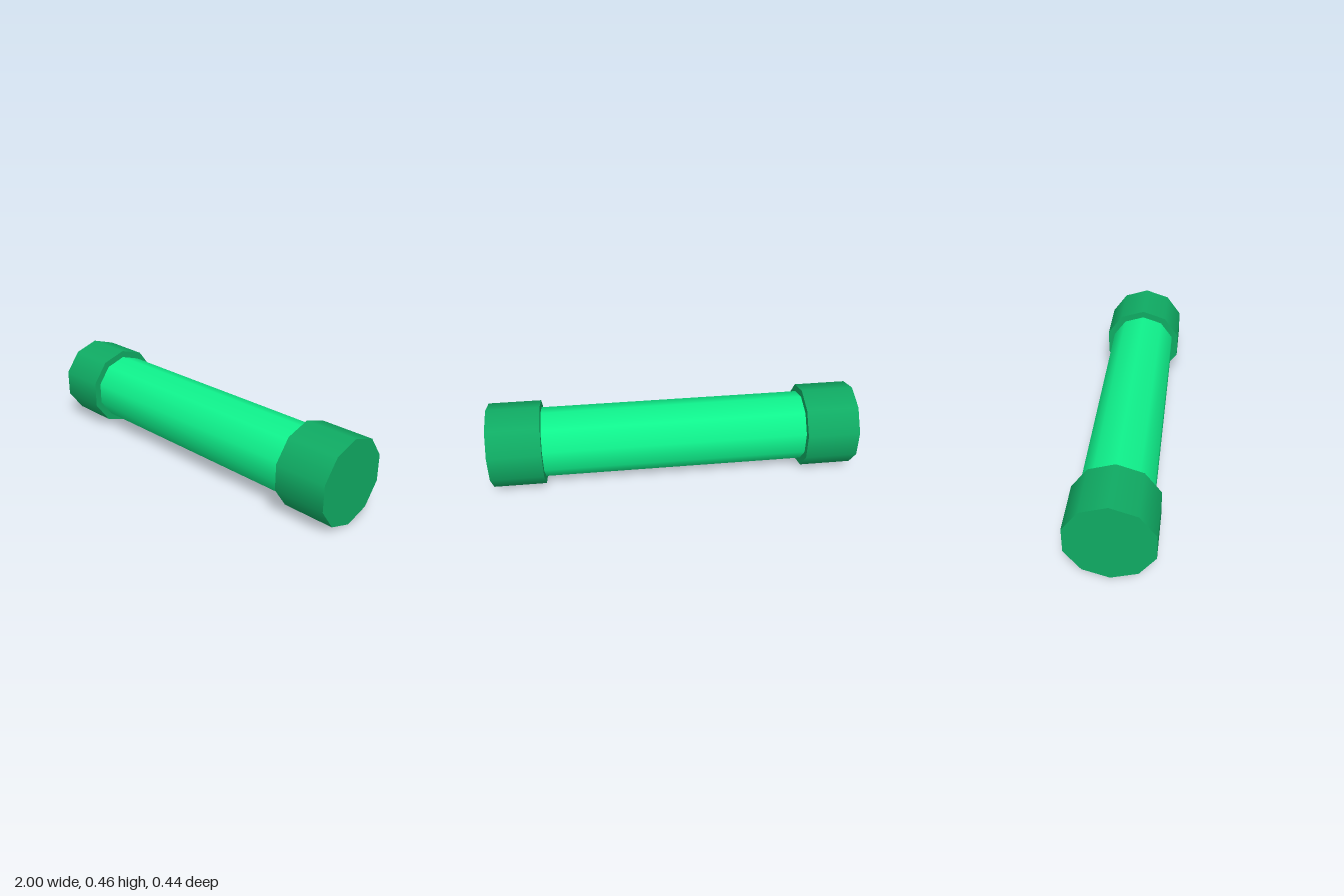
import * as THREE from 'three';

const SIDES = 10;
const CAP_RADIUS = 0.229;
const CAP_LENGTH = 0.285;
const BODY_RADIUS = 0.19;

// Ten-sided, smooth-shaded cylinder lying along x with a corner pointing up
function lyingCylinder(name, radius, length, x, material) {
  const geometry = new THREE.CylinderGeometry(radius, radius, length, SIDES, 1, false, Math.PI / 2);
  geometry.rotateZ(Math.PI / 2);
  const mesh = new THREE.Mesh(geometry, material);
  mesh.name = name;
  mesh.position.set(x, CAP_RADIUS, 0);
  return mesh;
}

export function createModel() {
  const group = new THREE.Group();
  group.name = 'capsuleTube';
  const bodyMaterial = new THREE.MeshStandardMaterial({ color: 0x0ff28c });
  const capMaterial = new THREE.MeshStandardMaterial({ color: 0x0fab63 });

  // Bright central tube, its ends seated just inside the caps
  const bodyLength = 2 - 2 * CAP_LENGTH + 0.04;
  group.add(lyingCylinder('tubeBody', BODY_RADIUS, bodyLength, 0, bodyMaterial));

  // Darker, wider cap on each end
  for (const side of [-1, 1]) {
    const name = side > 0 ? 'leftCap' : 'rightCap';
    group.add(lyingCylinder(name, CAP_RADIUS, CAP_LENGTH, side * (1 - CAP_LENGTH / 2), capMaterial));
  }
  return group;
}
